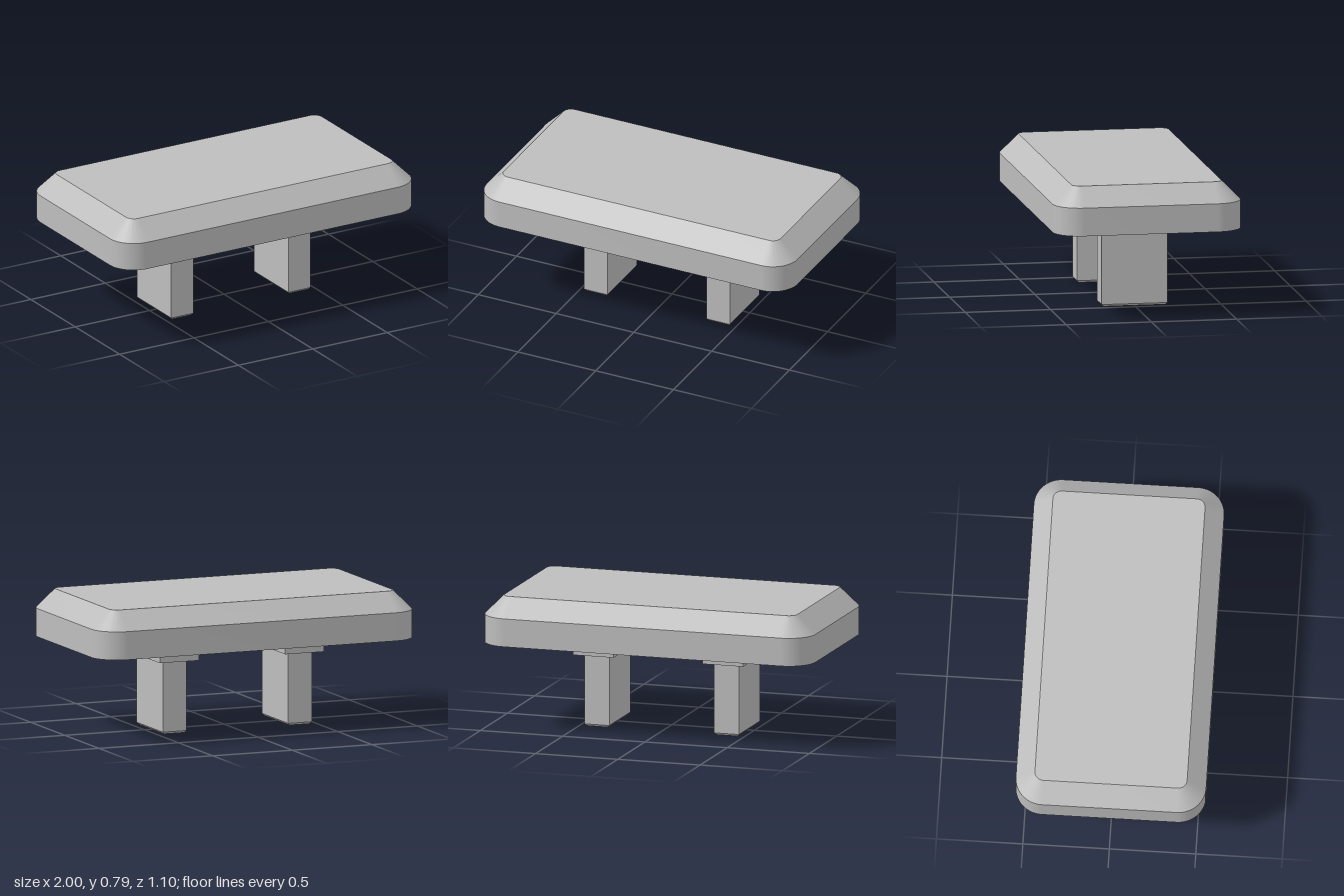
import * as THREE from 'three';
import { toCreasedNormals } from 'three/addons/utils/BufferGeometryUtils.js';

const grey = new THREE.MeshStandardMaterial({ color: 0xbdbdbd });
grey.name = 'plain grey';

// Plate footprint and levels
const HX = 1, HZ = 0.55, R = 0.16, INSET = 0.11;
const BASE = 0.515, RIM = 0.68, TOP = 0.79;

function roundedOutline() {
  const s = new THREE.Shape();
  s.moveTo(HX, -HZ + R);
  s.absarc(HX - R, HZ - R, R, 0, Math.PI / 2);
  s.absarc(-HX + R, HZ - R, R, Math.PI / 2, Math.PI);
  s.absarc(-HX + R, -HZ + R, R, Math.PI, Math.PI * 1.5);
  s.absarc(HX - R, -HZ + R, R, Math.PI * 1.5, Math.PI * 2);
  s.closePath();
  return s;
}

// Extrude an outline upwards from y0 to y1
function slab(shape, y0, y1) {
  const g = new THREE.ExtrudeGeometry(shape, { depth: y1 - y0, bevelEnabled: false, curveSegments: 16 });
  return g.rotateX(-Math.PI / 2).translate(0, y0, 0);
}

function add(parent, name, geometry) {
  const mesh = new THREE.Mesh(geometry, grey);
  mesh.name = name;
  parent.add(mesh);
  return mesh;
}

// Peg with a fine chamfer round its foot
function pegGeometry(w, h, d) {
  const g = new THREE.BoxGeometry(w, h, d, 1, 2, 1).translate(0, h / 2, 0);
  const p = g.attributes.position;
  for (let i = 0; i < p.count; i++) {
    const y = p.getY(i);
    if (y < 0.001) {
      p.setX(i, p.getX(i) - Math.sign(p.getX(i)) * 0.012);
      p.setZ(i, p.getZ(i) - Math.sign(p.getZ(i)) * 0.012);
    } else if (y < h - 0.001) p.setY(i, 0.013);
  }
  const flat = g.toNonIndexed();
  flat.computeVertexNormals();
  return flat;
}

export function createModel() {
  const model = new THREE.Group();
  model.name = 'cap';

  // Lower plate with a small rectangular pocket in its underside
  const lower = roundedOutline();
  const pocket = new THREE.Path();
  pocket.moveTo(0.67, -0.073);
  pocket.lineTo(0.67, 0.073);
  pocket.lineTo(0.93, 0.073);
  pocket.lineTo(0.93, -0.073);
  pocket.closePath();
  lower.holes.push(pocket);
  add(model, 'plate', toCreasedNormals(slab(lower, BASE, RIM), 0.5));

  // Bevelled top: pull the upper outline in towards the corner centres
  const bevel = slab(roundedOutline(), RIM, TOP);
  const p = bevel.attributes.position;
  const k = (R - INSET) / R;
  for (let i = 0; i < p.count; i++) {
    if (p.getY(i) < TOP - 0.01) continue;
    const x = p.getX(i), z = p.getZ(i);
    const cx = THREE.MathUtils.clamp(x, -HX + R, HX - R);
    const cz = THREE.MathUtils.clamp(z, -HZ + R, HZ - R);
    p.setX(i, cx + (x - cx) * k);
    p.setZ(i, cz + (z - cz) * k);
  }
  add(model, 'bevelledTop', toCreasedNormals(bevel, 0.5));

  // Two pegs, each with a collar under the plate
  for (const [side, x] of [['left', 0.392], ['right', -0.395]]) {
    const leg = new THREE.Group();
    leg.name = side + 'Leg';
    leg.position.x = x;
    add(leg, 'collar', new THREE.BoxGeometry(0.245, BASE - 0.43, 0.522)).position.y = (BASE + 0.43) / 2;
    add(leg, 'peg', pegGeometry(0.15, 0.43, 0.387));
    model.add(leg);
  }
  return model;
}
